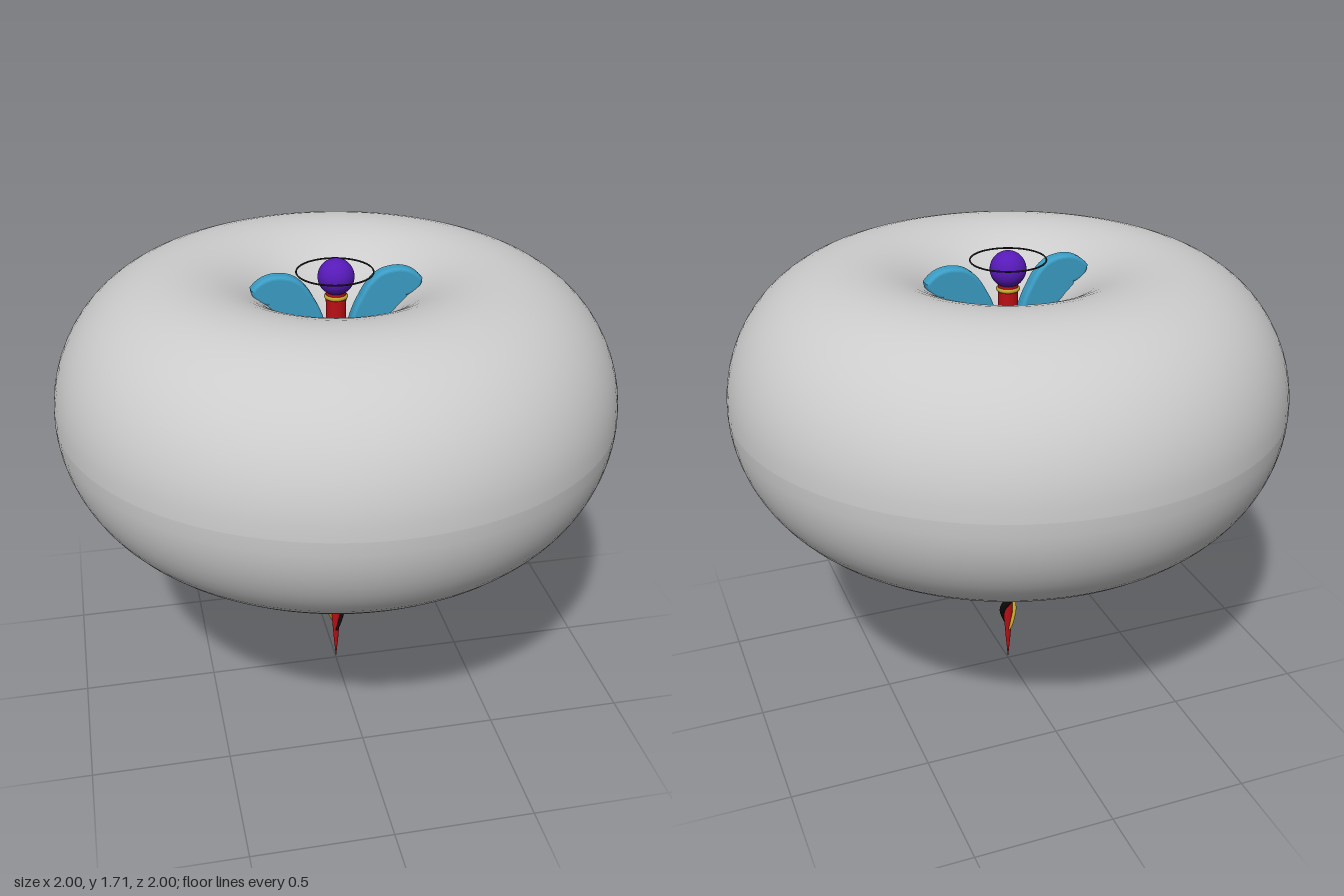
import * as THREE from 'three';

const mat = (color) => new THREE.MeshStandardMaterial({ color });
const add = (parent, name, geo, material) => {
  const mesh = new THREE.Mesh(geo, material);
  mesh.name = name;
  parent.add(mesh);
  return mesh;
};

// Tube whose radius depends on the height of its centre line
function taperedTube(curve, segments, sides, radiusAt) {
  const geo = new THREE.TubeGeometry(curve, segments, 1, sides);
  const pos = geo.attributes.position;
  const p = new THREE.Vector3();
  for (let i = 0; i <= segments; i++) {
    const c = curve.getPointAt(i / segments);
    const r = radiusAt(c.y);
    for (let j = 0; j <= sides; j++) {
      const k = i * (sides + 1) + j;
      p.fromBufferAttribute(pos, k).sub(c).multiplyScalar(r).add(c);
      pos.setXYZ(k, p.x, p.y, p.z);
    }
  }
  return geo;
}

// Serpent winding around the staff, wider towards the top, with a head
function serpent(name, color, phase) {
  const group = new THREE.Group();
  group.name = name;
  const points = [];
  const bottom = 0.15, top = 1.28;
  for (let i = 0; i <= 70; i++) {
    const y = bottom + (top - bottom) * i / 70;
    const a = Math.min(0.02 + 0.13 * Math.max(y - 0.2, 0), 0.1);
    const t = (y - 0.62) / 0.31 * Math.PI * 2 + phase;
    points.push(new THREE.Vector3(a * Math.sin(t), y, a * Math.cos(t)));
  }
  const curve = new THREE.CatmullRomCurve3(points);
  const radiusAt = (y) => Math.min(0.004 + 0.08 * (y - bottom), 0.014 + 0.028 * y, 0.033);
  const material = mat(color);
  add(group, 'serpentBody', taperedTube(curve, 220, 14, radiusAt), material);
  const head = add(group, 'serpentHead', new THREE.SphereGeometry(0.04, 20, 14), material);
  head.scale.set(1, 0.8, 1.3);
  head.position.copy(points[points.length - 1]);
  return group;
}

// Upswept wing with scalloped feather edge
function wingGeometry() {
  const s = new THREE.Shape();
  s.moveTo(0.03, 1.36);
  s.quadraticCurveTo(0.05, 1.5, 0.09, 1.565);
  s.quadraticCurveTo(0.13, 1.65, 0.19, 1.655);
  s.quadraticCurveTo(0.25, 1.665, 0.288, 1.62);
  s.quadraticCurveTo(0.285, 1.585, 0.235, 1.575);
  s.quadraticCurveTo(0.25, 1.52, 0.185, 1.51);
  s.quadraticCurveTo(0.19, 1.45, 0.125, 1.45);
  s.quadraticCurveTo(0.12, 1.38, 0.03, 1.36);
  const geo = new THREE.ExtrudeGeometry(s, {
    depth: 0.024, bevelEnabled: true, bevelThickness: 0.015,
    bevelSize: 0.012, bevelSegments: 5, curveSegments: 12,
  });
  return geo.translate(0, 0, 0);
}

export function createModel() {
  const model = new THREE.Group();
  model.name = 'wingedStaff';

  // Large ring around the staff, slightly taller than wide in section
  const ringProfile = [];
  for (let i = 0; i <= 64; i++) {
    const a = -i / 64 * Math.PI * 2;
    ringProfile.push(new THREE.Vector2(0.54 + 0.46 * Math.cos(a), 1.192 - 0.484 * Math.sin(a)));
  }
  add(model, 'largeRing', new THREE.LatheGeometry(ringProfile, 96), mat(0xcccccc));

  // Pointed staff
  const staffProfile = [[0, 0], [0.009, 0.1], [0.018, 0.22], [0.026, 0.7], [0.036, 1.58], [0, 1.6]]
    .map(([r, y]) => new THREE.Vector2(r, y));
  add(model, 'staff', new THREE.LatheGeometry(staffProfile, 32), mat(0xb80f14));

  // Collar and ball on top
  const collar = add(model, 'collar', new THREE.TorusGeometry(0.034, 0.008, 10, 32), mat(0xc0a52c));
  collar.rotation.x = Math.PI / 2;
  collar.position.y = 1.57;
  const ball = add(model, 'topBall', new THREE.SphereGeometry(0.064, 36, 24), mat(0x571ab8));
  ball.position.y = 1.641;

  // Thin hoop around the ball
  const hoop = add(model, 'thinHoop', new THREE.TorusGeometry(0.133, 0.003, 6, 64), mat(0x222222));
  hoop.rotation.x = Math.PI / 2;
  hoop.position.set(-0.008, 1.667, 0.02);

  // Pair of serpents half a turn apart
  model.add(serpent('goldSerpent', 0xbfa42e, 0));
  model.add(serpent('blackSerpent', 0x0b0b0b, Math.PI));

  // Pair of wings, turned about the staff so both stay front-facing
  const blue = mat(0x3a9cc4);
  const left = add(model, 'leftWing', wingGeometry(), blue);
  left.position.z = 0.001;
  const right = add(model, 'rightWing', wingGeometry(), blue);
  right.rotation.y = Math.PI;
  right.position.z = 0.025;

  return model;
}
